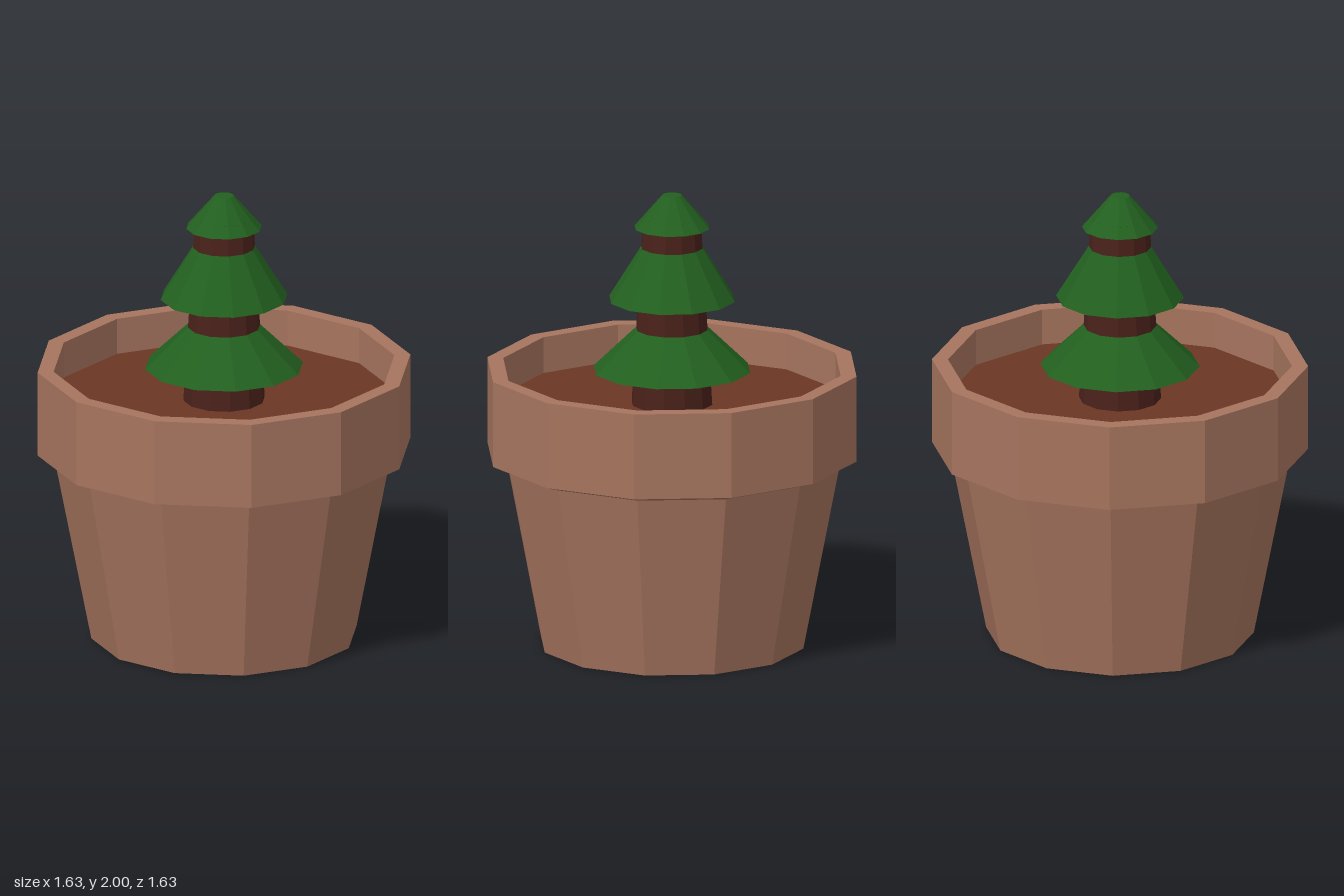
import * as THREE from 'three';

const SIDES = 12;

const flat = (color) => new THREE.MeshStandardMaterial({ color, flatShading: true });

function add(group, name, geometry, material, y = 0) {
  const mesh = new THREE.Mesh(geometry, material);
  mesh.name = name;
  mesh.position.y = y;
  group.add(mesh);
  return mesh;
}

// Tapered 12-sided prism standing on y0
function frustum(group, name, rBottom, rTop, y0, y1, material) {
  const geometry = new THREE.CylinderGeometry(rTop, rBottom, y1 - y0, SIDES);
  return add(group, name, geometry, material, (y0 + y1) / 2);
}

export function createModel() {
  const model = new THREE.Group();
  model.name = 'pottedTree';
  const clay = flat(0xa6745e);
  const earth = flat(0x6b3624);
  const bark = flat(0x4a211a);
  const needles = flat(0x22601f);

  const SOIL_Y = 1.07;

  // Pot: base, tapered wall, overhanging rim and inner wall down to the soil
  const profile = [
    [0, 0], [0.58, 0], [0.74, 0.825], [0.815, 0.85],
    [0.815, 1.23], [0.745, 1.23], [0.745, SOIL_Y],
  ].map(([r, y]) => new THREE.Vector2(r, y));
  add(model, 'pot', new THREE.LatheGeometry(profile, SIDES), clay);

  // Soil surface
  const soil = new THREE.CircleGeometry(0.745, SIDES).rotateX(-Math.PI / 2);
  add(model, 'soil', soil, earth, SOIL_Y);

  // Tree: one tapered trunk with three tiers of branches
  const tree = new THREE.Group();
  tree.name = 'tree';
  model.add(tree);
  frustum(tree, 'trunk', 0.178, 0.127, SOIL_Y, 1.9, bark);
  const tiers = [
    ['lowerBranches', 0.345, 0.15, 1.22, 1.41],
    ['middleBranches', 0.277, 0.133, 1.535, 1.77],
    ['topBranches', 0.165, 0.042, 1.855, 2],
  ];
  for (const [name, rBottom, rTop, y0, y1] of tiers) {
    frustum(tree, name, rBottom, rTop, y0, y1, needles);
  }

  return model;
}
